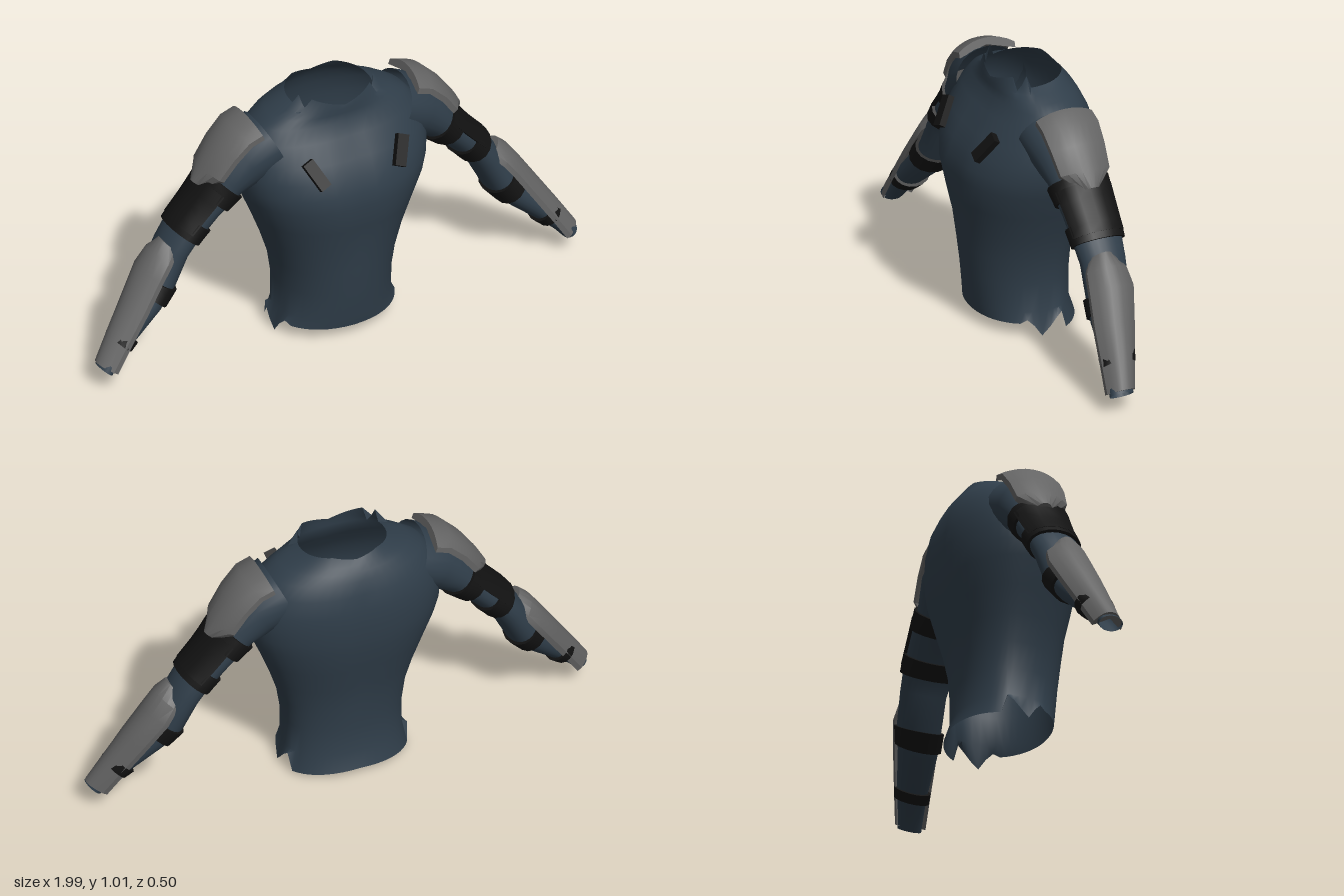
import * as THREE from 'three';
import { toCreasedNormals } from 'three/addons/utils/BufferGeometryUtils.js';

const cloth = new THREE.MeshStandardMaterial({ color: 0x2f3d49, side: THREE.DoubleSide });
cloth.name = 'slate cloth';
const armour = new THREE.MeshStandardMaterial({ color: 0x646464 });
armour.name = 'grey armour';
const strap = new THREE.MeshStandardMaterial({ color: 0x121212 });
strap.name = 'black strap';

// Skin a list of equal closed rings; side = -1 mirrors across x.
function loft(rings, { side = 1, caps = true, crease = 0.7 } = {}) {
  const n = rings[0].length, pos = [], idx = [];
  const tri = (a, b, c) => (side > 0 ? idx.push(a, b, c) : idx.push(a, c, b));
  for (const ring of rings) for (const p of ring) pos.push(p[0] * side, p[1], p[2]);
  for (let i = 0; i < rings.length - 1; i++) {
    for (let j = 0; j < n; j++) {
      const a = i * n + j, b = i * n + (j + 1) % n;
      tri(a, b, b + n);
      tri(a, b + n, a + n);
    }
  }
  if (caps) {
    for (const [k, first] of [[0, true], [rings.length - 1, false]]) {
      const c = pos.length / 3, r = rings[k];
      const mid = [0, 1, 2].map(q => r.reduce((s, p) => s + p[q], 0) / n);
      pos.push(mid[0] * side, mid[1], mid[2]);
      for (let j = 0; j < n; j++) {
        const a = k * n + j, b = k * n + (j + 1) % n;
        first ? tri(c, b, a) : tri(c, a, b);
      }
    }
  }
  const g = new THREE.BufferGeometry();
  g.setAttribute('position', new THREE.Float32BufferAttribute(pos, 3));
  g.setIndex(idx);
  return toCreasedNormals(g, crease);
}

function part(name, geometry, material) {
  const m = new THREE.Mesh(geometry, material);
  m.name = name;
  return m;
}

// Linear lookup in [key, value] pairs
function lookup(table, x) {
  for (let i = 1; i < table.length; i++) {
    const [x0, y0] = table[i - 1], [x1, y1] = table[i];
    if (x <= x1) return y0 + (y1 - y0) * (x - x0) / (x1 - x0);
  }
  return table[table.length - 1][1];
}

// Torn collar and hem: height by angle away from the front
const collar = [[0, 0.963], [45, 1.003], [52.5, 0.95], [60, 0.975], [67.5, 1.012], [75, 0.965], [150, 0.984], [180, 0.966]];
const hem = [[0, 0.045], [60, 0.05], [67.5, 0.065], [75, 0.04], [82.5, 0], [90, 0.03], [97.5, 0.06], [105, 0.08], [112.5, 0.01], [180, 0.027]];

// Torso sections: y, half width, front z, back z
const torso = [
  [0.02, 0.245, 0.176, -0.2], [0.09, 0.226, 0.184, -0.177], [0.2, 0.225, 0.195, -0.177], [0.3, 0.24, 0.206, -0.182],
  [0.4, 0.272, 0.216, -0.2], [0.5, 0.31, 0.236, -0.225], [0.6, 0.352, 0.253, -0.245], [0.66, 0.37, 0.246, -0.251],
  [0.72, 0.375, 0.226, -0.253], [0.78, 0.37, 0.193, -0.251], [0.85, 0.345, 0.143, -0.238], [0.9, 0.3, 0.11, -0.215],
  [0.93, 0.25, 0.103, -0.198], [0.95, 0.205, 0.104, -0.182], [0.97, 0.165, 0.1, -0.165],
];

function torsoRing([y, w, front, back], k) {
  const ring = [], zc = -0.025, soft = v => Math.sign(v) * Math.abs(v) ** 0.92;
  for (let j = 0; j < 48; j++) {
    const deg = j * 7.5, a = deg * Math.PI / 180, away = Math.min(deg, 360 - deg);
    const x = w * soft(Math.sin(a)), c = soft(Math.cos(a));
    // shallow groove down breastbone and spine
    const groove = y > 0.35 && y < 0.9 ? 1 - 0.03 * Math.exp(-((x / 0.05) ** 2)) : 1;
    const z = zc + c * groove * (c > 0 ? front - zc : zc - back);
    const h = k === 0 ? lookup(hem, away) : k === torso.length - 1 ? lookup(collar, away) : y;
    ring.push([x, h, z]);
  }
  return ring;
}

// Arm stations from shoulder to wrist: x, y, z, half depth in xy, half width in z
const arm = [
  [0.26, 0.82, -0.03, 0.115, 0.14], [0.36, 0.775, -0.035, 0.112, 0.13], [0.43, 0.71, -0.04, 0.082, 0.11],
  [0.52, 0.615, -0.045, 0.062, 0.1], [0.6, 0.53, -0.045, 0.06, 0.095], [0.645, 0.465, -0.045, 0.06, 0.088],
  [0.7, 0.36, -0.038, 0.062, 0.085], [0.76, 0.285, -0.02, 0.056, 0.076], [0.875, 0.175, 0.005, 0.043, 0.058],
  [0.93, 0.115, 0.022, 0.034, 0.05], [0.965, 0.072, 0.032, 0.032, 0.046],
];

function armAt(t) {
  t = Math.min(Math.max(t, 0), arm.length - 1);
  const i = Math.min(Math.floor(t), arm.length - 2);
  return arm[i].map((v, q) => v + (arm[i + 1][q] - v) * (t - i));
}

// Unit direction across the arm, pointing up and out
function across(p, q) {
  const dx = q[0] - p[0], dy = q[1] - p[1], l = Math.hypot(dx, dy);
  return [-dy / l, dx / l];
}

function armRing(t, sides, grow = 0) {
  const [x, y, z, w, d] = armAt(t), n = across(armAt(t - 0.6), armAt(t + 0.6)), ring = [];
  for (let j = 0; j < sides; j++) {
    const a = j / sides * Math.PI * 2, r = (w + grow) * Math.cos(a);
    ring.push([x + n[0] * r, y + n[1] * r, z + (d + grow) * Math.sin(a)]);
  }
  return ring;
}

// Curved panel on the outer half of the arm
function cuffPanelRing(t) {
  const [x, y, z, w, d] = armAt(t), n = across(armAt(t - 0.6), armAt(t + 0.6)), ring = [];
  for (const grow of [0.013, -0.005]) {
    for (let j = 0; j <= 6; j++) {
      const a = (grow > 0 ? j - 3 : 3 - j) / 3 * 1.25, r = (w + grow) * Math.cos(a);
      ring.push([x + n[0] * r, y + n[1] * r, z + (d + grow) * Math.sin(a)]);
    }
  }
  return ring;
}

// Armour plate from rows of ridge x, ridge y, back z, front z
function plateRings(rows, drop, thick) {
  return rows.map(([x, y, z0, z1], i) => {
    const n = across(rows[Math.max(i - 1, 0)], rows[Math.min(i + 1, rows.length - 1)]), ring = [];
    for (const inner of [0, 1]) {
      for (let j = 0; j <= 8; j++) {
        const v = (inner ? 8 - j : j) / 4 - 1;
        const r = -drop * Math.abs(v) ** 2.2 - inner * thick;
        ring.push([x + n[0] * r, y + n[1] * r, z0 + (z1 - z0) * (v + 1) / 2]);
      }
    }
    return ring;
  });
}

const shoulderRows = [[0.337, 0.945, -0.155, 0.07], [0.4, 0.922, -0.155, 0.07], [0.468, 0.855, -0.151, 0.063],
  [0.525, 0.775, -0.145, 0.052], [0.557, 0.718, -0.09, -0.015]];
const forearmRows = [[0.7, 0.525, -0.078, 0.02], [0.742, 0.485, -0.113, 0.046], [0.788, 0.422, -0.122, 0.055],
  [0.86, 0.312, -0.092, 0.069], [0.93, 0.205, -0.06, 0.076], [0.993, 0.105, -0.03, 0.083]];

export function createModel() {
  const model = new THREE.Group();
  model.name = 'armouredShirt';
  model.add(part('torso', loft(torso.map(torsoRing), { caps: false, crease: 1.1 }), cloth));

  for (const side of [1, -1]) {
    const label = side > 0 ? 'left' : 'right';
    const group = new THREE.Group();
    group.name = label + 'Arm';
    group.add(part(label + 'Sleeve', loft(arm.map((_, i) => armRing(i, 24)), { side, caps: false, crease: 1.1 }), cloth));

    // Straps round the arm
    const bands = { upperCuff: [2.15, 2.7], lowerCuff: [3.5, 4.15], elbowStrap: [6.1, 6.8], wristStrap: [7.9, 8.3] };
    for (const [name, [t0, t1]] of Object.entries(bands)) {
      const rings = [t0, (t0 + t1) / 2, t1].map(t => armRing(t, 16, 0.012));
      group.add(part(label + name, loft(rings, { side }), strap));
    }
    const panel = [2.4, 2.8, 3.2, 3.6, 3.9].map(cuffPanelRing);
    group.add(part(label + 'CuffPanel', loft(panel, { side }), strap));

    // Armour plates
    group.add(part(label + 'ShoulderPlate', loft(plateRings(shoulderRows, 0.035, 0.022), { side, crease: 0.5 }), armour));
    group.add(part(label + 'ForearmPlate', loft(plateRings(forearmRows, 0.05, 0.02), { side, crease: 0.5 }), armour));
    model.add(group);

    // Slanted chest clip
    const clip = part(label + 'ChestClip', new THREE.BoxGeometry(0.045, 0.118, 0.026), strap);
    const up = new THREE.Vector3(0.05 * side, 0.1, -0.066).normalize();
    const right = new THREE.Vector3().crossVectors(up, new THREE.Vector3(0.1 * side, 0.5, 0.8)).normalize();
    clip.quaternion.setFromRotationMatrix(new THREE.Matrix4().makeBasis(right, up, right.clone().cross(up)));
    clip.position.set(0.175 * side, 0.768, 0.203);
    model.add(clip);
  }
  return model;
}
